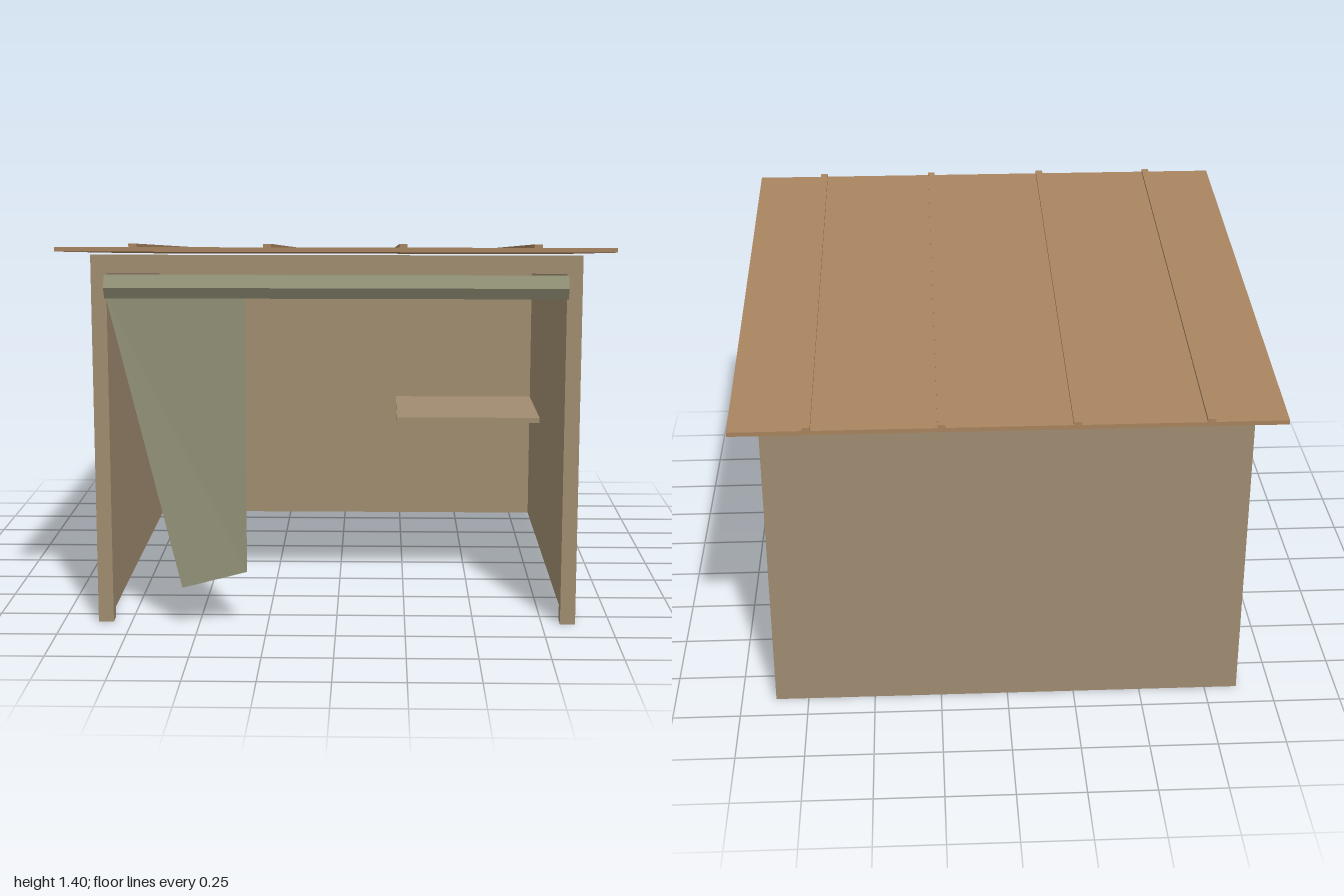
import * as THREE from 'three';

const mat = (color) => new THREE.MeshStandardMaterial({ color, flatShading: true, side: THREE.DoubleSide });

export function createModel() {
  const model = new THREE.Group();
  const wood = mat(0xa08c70), roofMat = mat(0xa7835f), canvas = mat(0x8f8e74);

  const add = (name, geometry, material) => {
    const mesh = new THREE.Mesh(geometry, material);
    mesh.name = name;
    model.add(mesh);
    return mesh;
  };
  // Box given by its lowest and highest corners
  const block = (name, [x0, y0, z0], [x1, y1, z1], material = wood) => {
    const g = new THREE.BoxGeometry(x1 - x0, y1 - y0, z1 - z0);
    g.translate((x0 + x1) / 2, (y0 + y1) / 2, (z0 + z1) / 2);
    return add(name, g, material);
  };
  // Side profile of [z, y] points, extruded across x from x0 to x1
  const acrossX = (name, points, x0, x1, material) => {
    const shape = new THREE.Shape(points.map(([z, y]) => new THREE.Vector2(-z, y)));
    const g = new THREE.ExtrudeGeometry(shape, { depth: x1 - x0, bevelEnabled: false });
    g.rotateY(Math.PI / 2).translate(x0, 0, 0);
    return add(name, g, material);
  };

  const W = 0.872, FRONT = 0.845, BACK = -0.9, T = 0.035;
  const topAt = (z) => 1.265 + 0.1 * z; // slope of the wall tops

  // Side walls with a thicker post at the open front
  for (const [side, s] of [['left', 1], ['right', -1]]) {
    const span = (inner) => [Math.min(s * inner, s * W), Math.max(s * inner, s * W)];
    acrossX(side + 'Wall', [[FRONT - 0.02, 0], [FRONT - 0.02, topAt(FRONT - 0.02)], [BACK, topAt(BACK)], [BACK, 0]],
      ...span(W - T), wood);
    acrossX(side + 'FrontPost', [[FRONT, 0], [FRONT, topAt(FRONT)], [FRONT - 0.055, topAt(FRONT - 0.055)], [FRONT - 0.055, 0]],
      ...span(W - 0.055), wood);
  }

  // Back wall, beam over the opening, inner shelf
  block('backWall', [-W + T, 0, BACK], [W - T, topAt(BACK), BACK + T]);
  acrossX('frontBeam', [[FRONT, 1.285], [FRONT, topAt(FRONT)], [FRONT - 0.055, topAt(FRONT - 0.055)], [FRONT - 0.055, 1.285]],
    -W + 0.055, W - 0.055, wood);
  block('shelf', [0.23, 0.518, BACK + T], [W - T, 0.54, -0.35]);

  // Sloping roof slab with raised battens
  const roof = (name, low, high, x0, x1) => acrossX(name,
    [[1, 1.375 + low], [1, 1.375 + high], [-1, 1.175 + high], [-1, 1.175 + low]], x0, x1, roofMat);
  roof('roof', 0, 0.016, -0.972, 0.972);
  for (const x of [-0.7, -0.235, 0.235, 0.7]) roof('roofBatten', 0.014, 0.028, x - 0.014, x + 0.014);

  // Rolled-up canvas: six-sided roll with an edge toward the front
  const roll = new THREE.CylinderGeometry(0.046, 0.046, 1.635, 6);
  roll.rotateZ(Math.PI / 2).translate(0, 1.24, 0.874);
  add('canvasRoll', roll, canvas);

  // Loose canvas flap hanging from the roll
  const flap = new THREE.BufferGeometry();
  flap.setAttribute('position', new THREE.Float32BufferAttribute([
    -0.815, 1.205, 0.88, -0.555, 0.15, 0.915, -0.322, 0.205, 0.895, -0.322, 1.205, 0.88], 3));
  flap.setIndex([0, 1, 2, 0, 2, 3]);
  flap.computeVertexNormals();
  add('canvasFlap', flap, canvas);

  return model;
}
